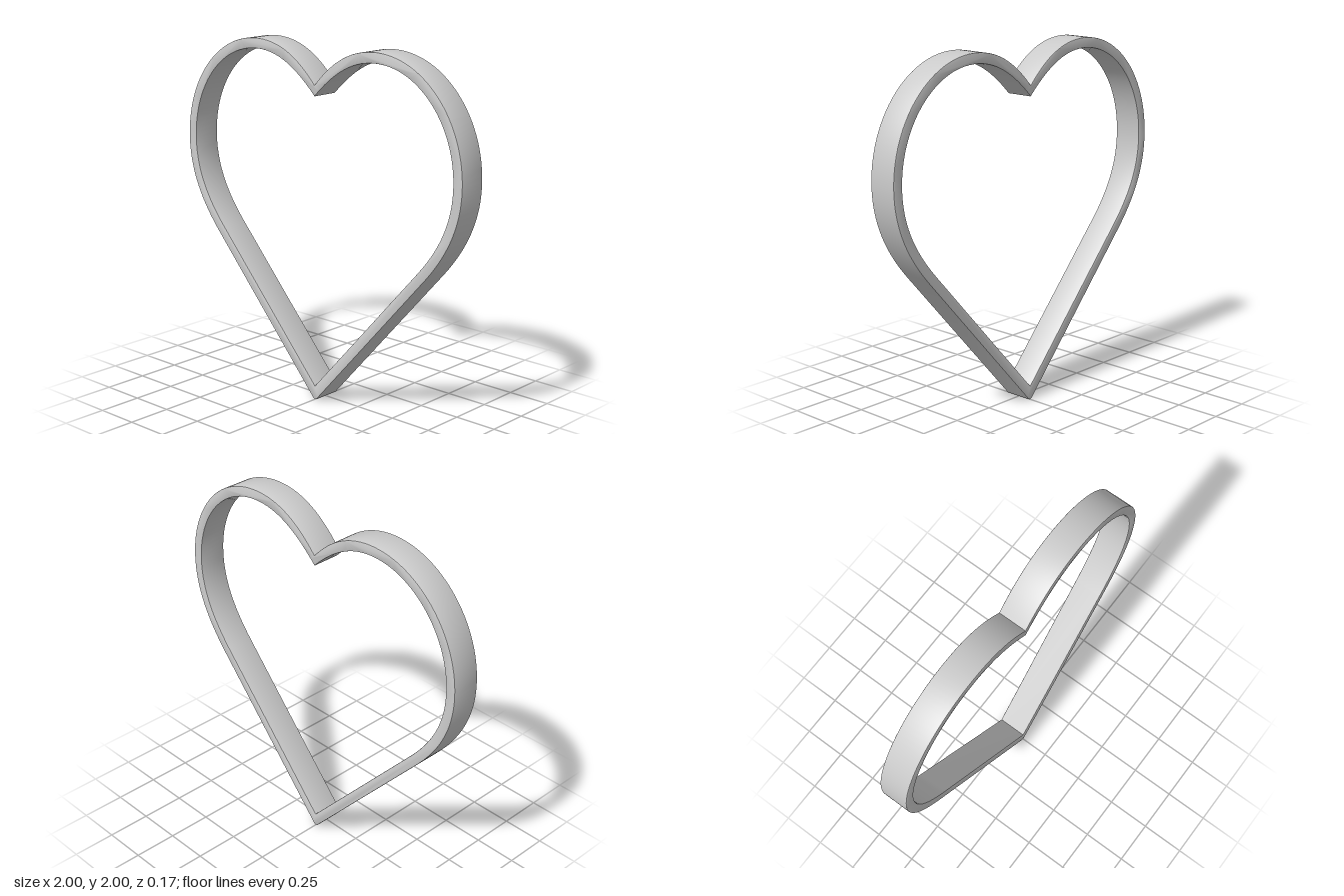
import * as THREE from 'three';
import { toCreasedNormals } from 'three/addons/utils/BufferGeometryUtils.js';

// Samples the right half of a heart from tip to notch, then mirrors it.
function heartPoints(half) {
  const right = half.getPoints(28);
  const left = right.slice(1, -1).reverse().map((p) => new THREE.Vector2(-p.x, p.y));
  return [...right, ...left];
}

export function createModel() {
  const group = new THREE.Group();
  group.name = 'heartFrame';

  // Outer outline: slightly rounded tip, straight flank, round lobe, notch
  const outer = new THREE.Path();
  outer.moveTo(0, 0);
  outer.quadraticCurveTo(0.012, 0, 0.024, 0.018);
  outer.lineTo(0.76, 0.84);
  outer.bezierCurveTo(0.9, 0.995, 1, 1.165, 1, 1.38);
  outer.bezierCurveTo(1, 1.722, 0.745, 2, 0.43, 2);
  outer.bezierCurveTo(0.26, 2, 0.125, 1.925, 0, 1.785);

  // Inner outline, one wall thickness inside
  const inner = new THREE.Path();
  inner.moveTo(0, 0.08);
  inner.lineTo(0.718, 0.878);
  inner.bezierCurveTo(0.85, 1.025, 0.942, 1.18, 0.942, 1.38);
  inner.bezierCurveTo(0.942, 1.69, 0.713, 1.942, 0.43, 1.942);
  inner.bezierCurveTo(0.27, 1.942, 0.14, 1.865, 0, 1.725);

  const shape = new THREE.Shape(heartPoints(outer));
  shape.holes.push(new THREE.Path(heartPoints(inner)));

  // Band with finely eased edges
  const depth = 0.166;
  const bevel = 0.004;
  const geometry = new THREE.ExtrudeGeometry(shape, {
    depth: depth - 2 * bevel,
    bevelEnabled: true,
    bevelThickness: bevel,
    bevelSize: bevel,
    bevelOffset: -bevel,
    bevelSegments: 2,
  });
  geometry.translate(0, 0, -depth / 2 + bevel);

  const band = new THREE.Mesh(
    toCreasedNormals(geometry, 0.5),
    new THREE.MeshStandardMaterial({ color: 0xcccccc })
  );
  band.name = 'heartBand';
  group.add(band);
  return group;
}
